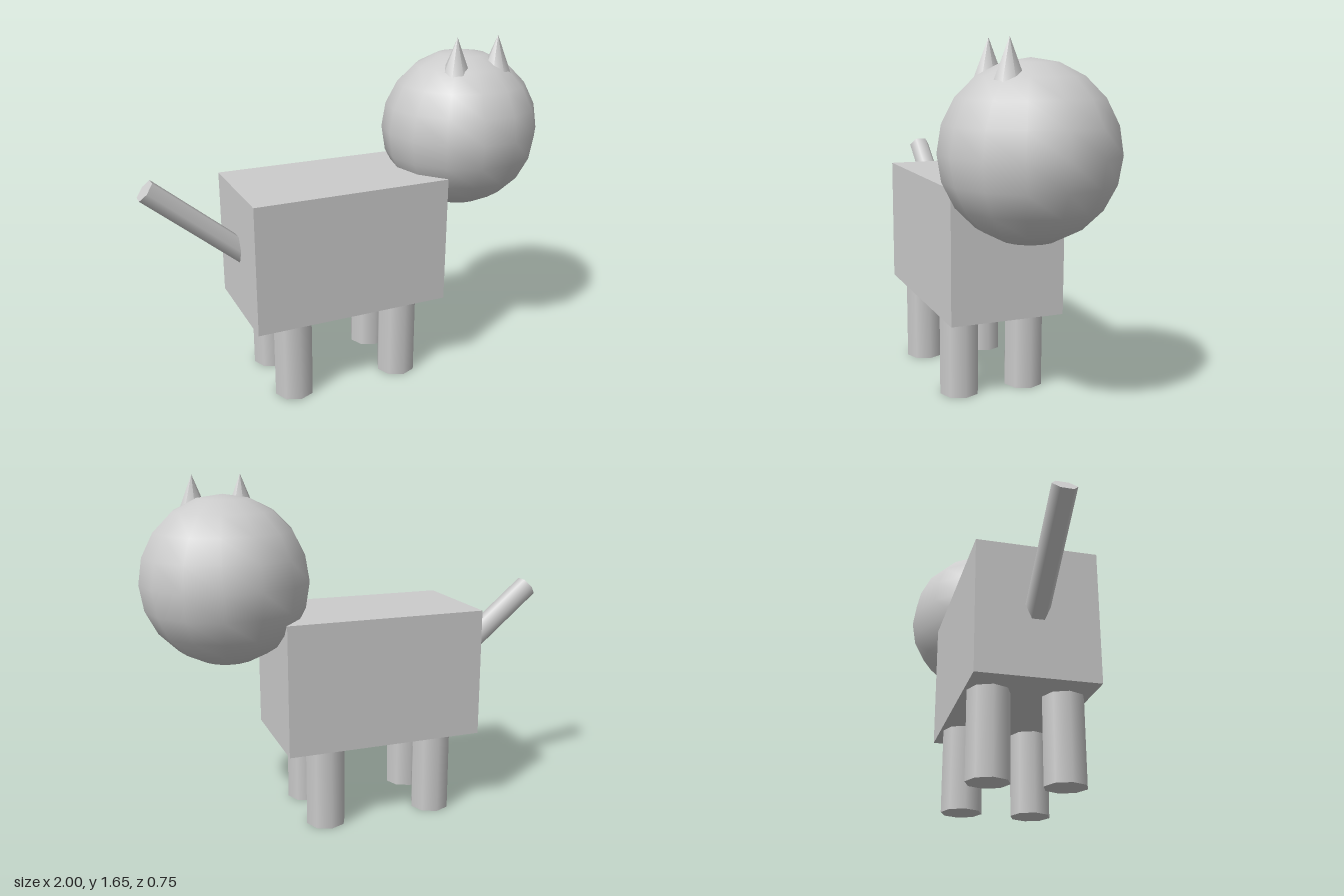
import * as THREE from 'three';

const material = new THREE.MeshStandardMaterial({ color: 0xcccccc });

export function createModel() {
  const model = new THREE.Group();
  model.name = 'cat';

  const add = (name, geometry, x, y, z) => {
    const mesh = new THREE.Mesh(geometry, material);
    mesh.name = name;
    mesh.position.set(x, y, z);
    model.add(mesh);
    return mesh;
  };

  // Body block
  add('body', new THREE.BoxGeometry(0.965, 0.62, 0.55), -0.0825, 0.705, 0);

  // Head, facing +x
  add('head', new THREE.SphereGeometry(0.387, 14, 10), 0.61, 1.188, 0);

  // Four legs
  const legHeight = 0.42;
  const legGeometry = new THREE.CylinderGeometry(0.096, 0.096, legHeight, 8);
  for (const [end, x] of [['back', -0.36], ['front', 0.194]]) {
    for (const [side, z] of [['Left', -0.166], ['Right', 0.166]]) {
      add(`${end}${side}Leg`, legGeometry, x, legHeight / 2, z);
    }
  }

  // Pointed ears, both on the +z half of the head
  const earGeometry = new THREE.ConeGeometry(0.077, 0.193, 8);
  for (const [name, x] of [['rearEar', 0.497], ['frontEar', 0.72]]) {
    add(name, earGeometry, x, 1.655 - 0.193 / 2, 0.14);
  }

  // Slanted tail, running from inside the body up to its tip
  const tip = new THREE.Vector2(-0.97, 1.064);
  const tilt = THREE.MathUtils.degToRad(50);
  const length = 0.6;
  const tail = add(
    'tail',
    new THREE.CylinderGeometry(0.056, 0.056, length, 6),
    tip.x + (Math.sin(tilt) * length) / 2,
    tip.y - (Math.cos(tilt) * length) / 2,
    0
  );
  tail.rotation.z = tilt;

  return model;
}
